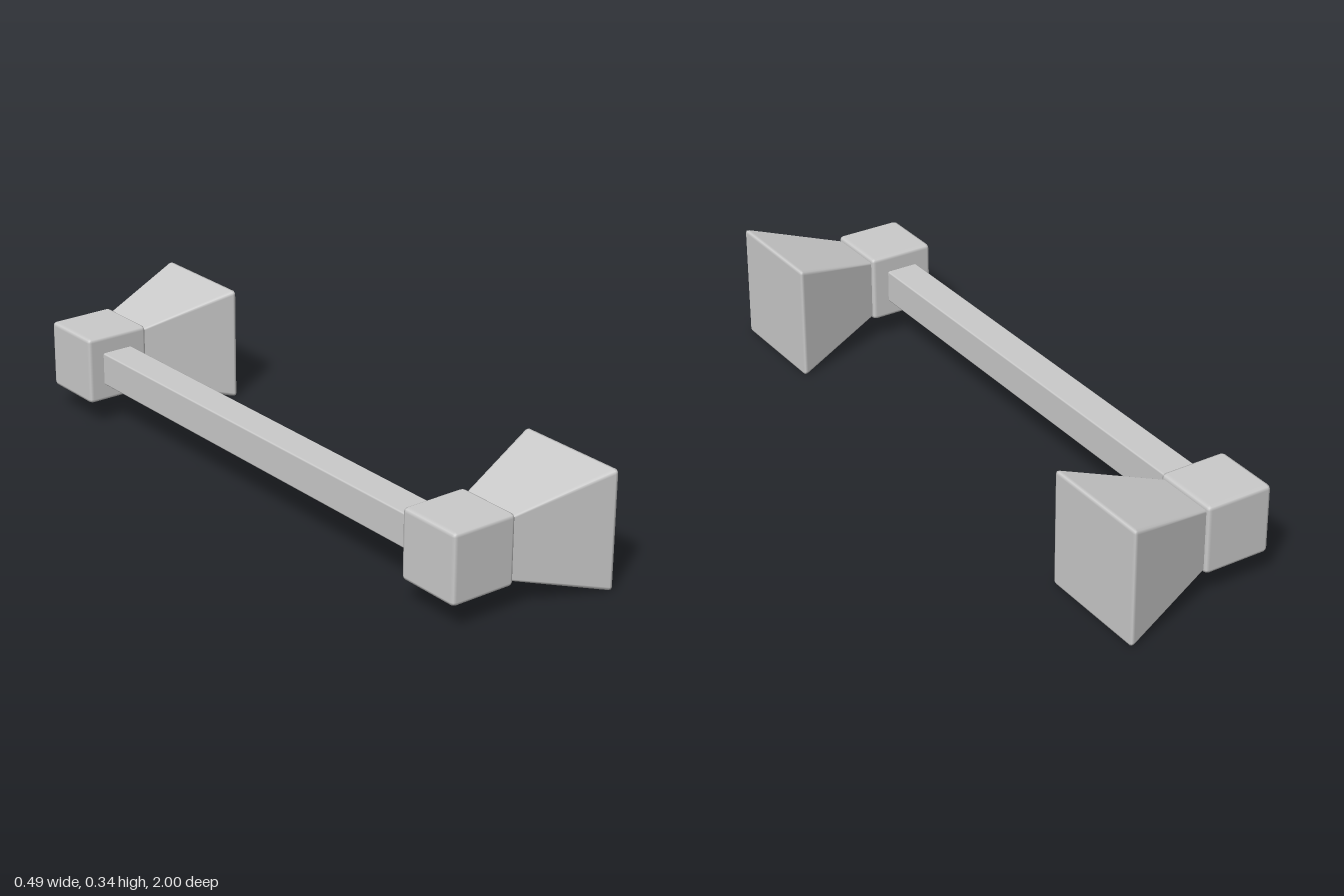
import * as THREE from 'three';
import { RoundedBoxGeometry } from 'three/addons/geometries/RoundedBoxGeometry.js';

const MID_Y = 0.172;   // height of the bar's axis
const END_Z = 0.828;   // distance of each end piece from the centre
const BEVEL = 0.012;

const material = new THREE.MeshStandardMaterial({ color: 0xcccccc });

function addMesh(parent, name, geometry, x, y, z) {
  const mesh = new THREE.Mesh(geometry, material);
  mesh.name = name;
  mesh.position.set(x, y, z);
  parent.add(mesh);
  return mesh;
}

// Bevelled box that widens in y and z along +x; normals follow the taper
function flareGeometry(length, halfSmall, halfLarge) {
  const geo = new RoundedBoxGeometry(length, 2 * halfLarge, 2 * halfLarge, 1, BEVEL);
  const pos = geo.attributes.position;
  const nor = geo.attributes.normal;
  const slope = (1 - halfSmall / halfLarge) / length;
  const n = new THREE.Vector3();
  for (let i = 0; i < pos.count; i++) {
    const x = pos.getX(i), y = pos.getY(i), z = pos.getZ(i);
    const s = 1 + slope * (x - length / 2);
    n.fromBufferAttribute(nor, i);
    n.set(n.x - (slope / s) * (y * n.y + z * n.z), n.y / s, n.z / s).normalize();
    pos.setXYZ(i, x, y * s, z * s);
    nor.setXYZ(i, n.x, n.y, n.z);
  }
  return geo;
}

export function createModel() {
  const model = new THREE.Group();
  model.name = 'barHandle';

  // Square grip bar, its ends sunk into the blocks
  addMesh(model, 'gripBar', new RoundedBoxGeometry(0.1, 0.1, 1.5, 1, 0.005), -0.145, MID_Y + 0.002, 0);

  // A block with a flared foot at each end of the bar
  const block = new RoundedBoxGeometry(0.203, 0.204, 0.204, 1, BEVEL);
  const flare = flareGeometry(0.297, 0.088, 0.1755);
  for (const side of [1, -1]) {
    const end = new THREE.Group();
    end.name = side > 0 ? 'frontEnd' : 'backEnd';
    end.position.set(0, MID_Y, side * END_Z);
    addMesh(end, 'mountBlock', block, -0.1435, 0.002, 0);
    addMesh(end, 'flaredFoot', flare, 0.0945, 0, 0);
    model.add(end);
  }
  return model;
}
